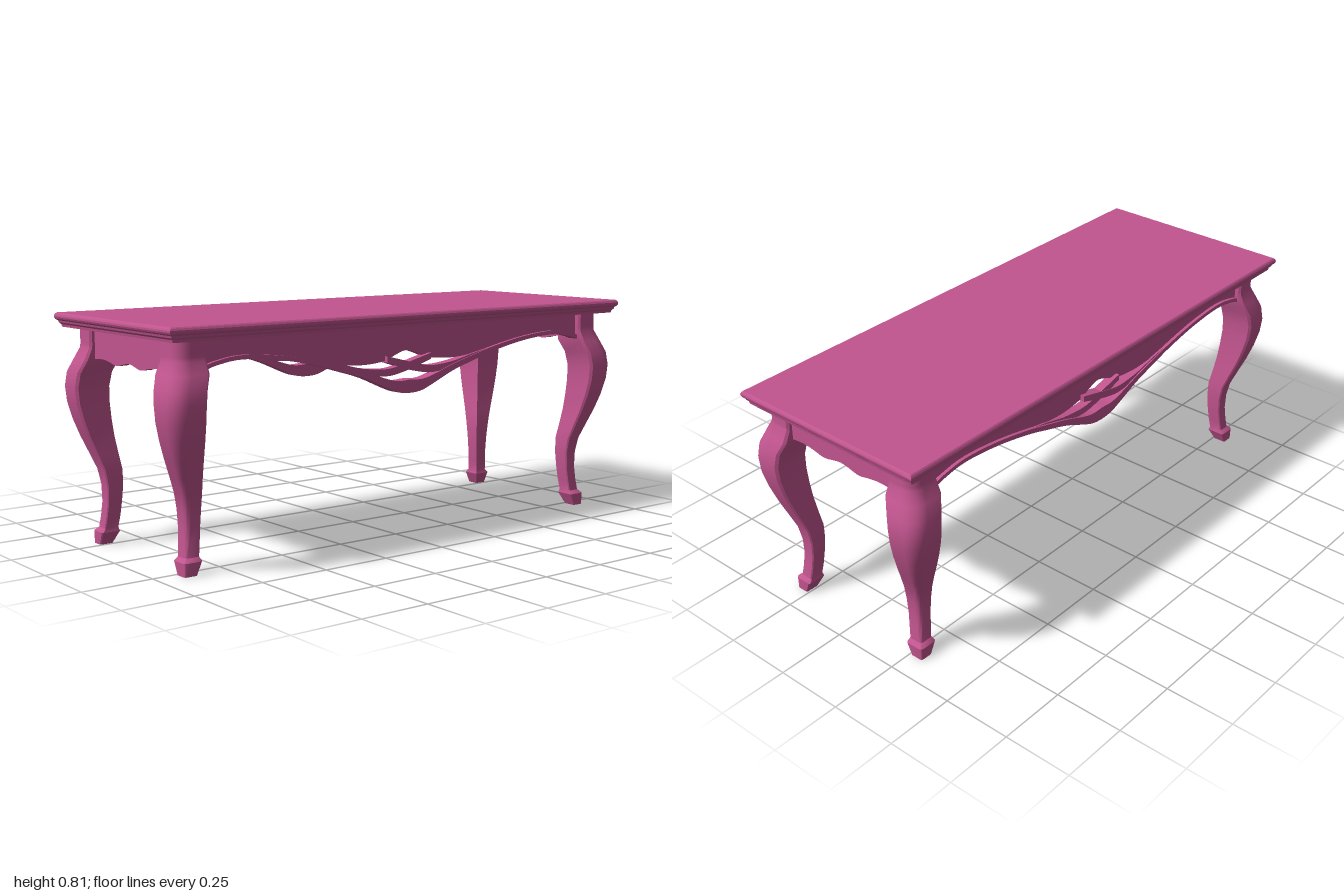
import * as THREE from 'three';
import { toCreasedNormals } from 'three/addons/utils/BufferGeometryUtils.js';

const STRETCH = 0.61; // how much longer than wide the table is, per half

function createMesh(name, geometry, material) {
  const mesh = new THREE.Mesh(geometry, material);
  mesh.name = name;
  return mesh;
}

// Flat strip in the xy plane following stations of [x, lowY, highY]
function strip(stations, zBack, zFront, segments = 64, dip = 0) {
  const curve = new THREE.CatmullRomCurve3(
    stations.map((s) => new THREE.Vector3(...s)), false, 'catmullrom');
  const geometry = new THREE.BoxGeometry(1, 1, 1, segments, 1, 1);
  const pos = geometry.attributes.position;
  for (let i = 0; i < pos.count; i++) {
    const p = curve.getPoint(THREE.MathUtils.clamp(pos.getX(i) + 0.5, 0, 1));
    const z = pos.getZ(i) > 0 ? zFront : zBack;
    const hollow = dip * Math.exp(-((p.x / 0.15) ** 2));
    pos.setXYZ(i, p.x, pos.getY(i) > 0 ? p.z : p.y, z - hollow);
  }
  geometry.computeVertexNormals();
  return geometry;
}

// Completes stations given for x >= 0 with their mirror image
const mirrored = (half) => [
  ...half.slice(1).reverse().map(([x, low, high]) => [-x, low, high]), ...half];

// Moulded rectangular top: four-sided lathe pulled apart along x
function topGeometry() {
  const profile = [
    [0, 0.757], [0.367, 0.757], [0.369, 0.766], [0.375, 0.772], [0.377, 0.779],
    [0.384, 0.784], [0.387, 0.79], [0.387, 0.796], [0.384, 0.802], [0.38, 0.806], [0, 0.806],
  ].map(([half, y]) => new THREE.Vector2(half * Math.SQRT2, y));
  let geometry = new THREE.LatheGeometry(profile, 4, Math.PI / 4);
  const pos = geometry.attributes.position;
  for (let i = 0; i < pos.count; i++) {
    const x = pos.getX(i);
    if (Math.abs(x) > 0.01) pos.setX(i, x + Math.sign(x) * 0.613);
  }
  geometry = geometry.toNonIndexed();
  geometry.computeVertexNormals();
  return geometry;
}

// Unit square section with a rounded outer corner and eased side corners
function legSection(radius) {
  const points = [[0, 0], [0.93, 0], [1, 0.07]];
  for (let i = 0; i <= 6; i++) {
    const a = (i / 6) * Math.PI / 2;
    points.push([1 - radius + radius * Math.cos(a), 1 - radius + radius * Math.sin(a)]);
  }
  return [...points, [0.07, 1], [0, 0.93]];
}

// Cabriole leg curving out along its diagonal
function legGeometry() {
  // height, inner face, outer face, corner radius
  const rings = [
    [0, 0.257, 0.304, 0.2], [0.045, 0.237, 0.306, 0.2], [0.058, 0.241, 0.293, 0.25],
    [0.1, 0.235, 0.288, 0.28], [0.15, 0.23, 0.284, 0.3], [0.21, 0.226, 0.286, 0.3],
    [0.265, 0.227, 0.296, 0.32], [0.32, 0.236, 0.317, 0.35], [0.38, 0.245, 0.341, 0.4],
    [0.44, 0.251, 0.361, 0.42], [0.5, 0.255, 0.376, 0.45], [0.555, 0.255, 0.381, 0.45],
    [0.605, 0.247, 0.375, 0.45], [0.65, 0.228, 0.357, 0.45], [0.69, 0.228, 0.338, 0.45],
    [0.705, 0.228, 0.337, 0.45], [0.76, 0.228, 0.337, 0.45],
  ];
  const vertices = [];
  const index = [];
  const n = legSection(0.4).length;
  rings.forEach(([y, inner, outer, radius], r) => {
    for (const [u, v] of legSection(radius)) {
      vertices.push(inner + (outer - inner) * u, y, inner + (outer - inner) * v);
    }
    if (r === 0) return;
    for (let j = 0; j < n; j++) {
      const a = (r - 1) * n + j;
      const b = (r - 1) * n + ((j + 1) % n);
      index.push(a, a + n, b, b, a + n, b + n);
    }
  });
  for (let j = 1; j < n - 1; j++) index.push(0, j, j + 1); // sole of the foot
  const geometry = new THREE.BufferGeometry();
  geometry.setAttribute('position', new THREE.Float32BufferAttribute(vertices, 3));
  geometry.setIndex(index);
  return toCreasedNormals(geometry, 0.6);
}

export function createModel() {
  const table = new THREE.Group();
  table.name = 'table';
  const paint = new THREE.MeshStandardMaterial({ color: 0xc2558f });

  table.add(createMesh('tableTop', topGeometry(), paint));

  // Four legs, each turned to point its knee at its own corner
  const leg = legGeometry();
  [1, 1, -1, -1].forEach((side, i) => {
    const mesh = createMesh('leg', leg, paint);
    mesh.position.x = side * STRETCH;
    mesh.rotation.y = i * Math.PI / 2;
    table.add(mesh);
  });

  // Long aprons: panel, curved lower rail and two crossing strands
  const panel = strip(mirrored([
    [0, 0.668, 0.76], [0.05, 0.655, 0.76], [0.1, 0.637, 0.76], [0.2, 0.63, 0.76], [0.3, 0.638, 0.76],
    [0.4, 0.655, 0.76], [0.55, 0.68, 0.76], [0.7, 0.69, 0.76], [0.86, 0.66, 0.76],
  ]), 0.29, 0.315, 80, 0.012);
  const rail = strip(mirrored([
    [0, 0.52, 0.567], [0.05, 0.525, 0.565], [0.1, 0.543, 0.575], [0.2, 0.585, 0.608], [0.3, 0.615, 0.635],
    [0.4, 0.643, 0.66], [0.55, 0.672, 0.687], [0.7, 0.685, 0.699], [0.8, 0.672, 0.686], [0.86, 0.652, 0.668],
  ]), 0.283, 0.327, 80);
  const strandPath = [
    [-0.4, 0.643, 0.658], [-0.3, 0.617, 0.64], [-0.2, 0.596, 0.618], [-0.1, 0.585, 0.61],
    [-0.03, 0.595, 0.622], [0.03, 0.611, 0.637], [0.1, 0.632, 0.654],
  ];
  const strandLeft = strip(strandPath, 0.288, 0.321, 32);
  const strandRight = strip(
    strandPath.map(([x, low, high]) => [-x, low, high]).reverse(), 0.286, 0.323, 32);
  for (const turn of [0, Math.PI]) {
    const apron = new THREE.Group();
    apron.name = turn ? 'backApron' : 'frontApron';
    apron.add(
      createMesh('apronPanel', panel, paint),
      createMesh('apronRail', rail, paint),
      createMesh('crossingStrand', strandLeft, paint),
      createMesh('crossingStrand', strandRight, paint));
    apron.rotation.y = turn;
    table.add(apron);
  }

  // Short aprons with a scalloped lower edge
  const sidePanel = strip(mirrored([
    [0, 0.657, 0.76], [0.03, 0.653, 0.76], [0.08, 0.643, 0.76], [0.13, 0.652, 0.76],
    [0.18, 0.657, 0.76], [0.25, 0.651, 0.76],
  ]), 0.29, 0.32, 48);
  for (const side of [1, -1]) {
    const mesh = createMesh('sideApron', sidePanel, paint);
    mesh.position.x = side * STRETCH;
    mesh.rotation.y = side * Math.PI / 2;
    table.add(mesh);
  }
  return table;
}
